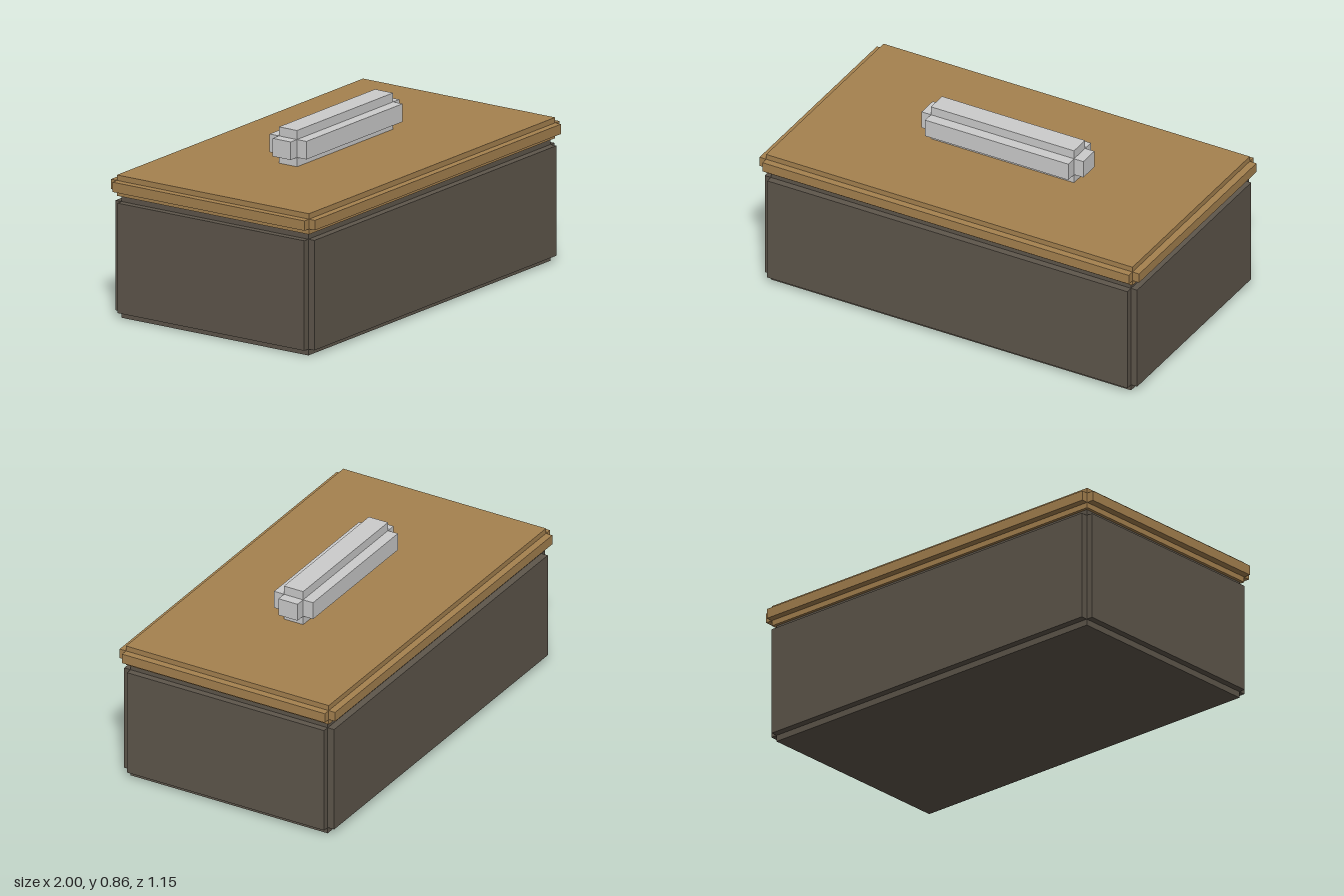
import * as THREE from 'three';

// A block with stepped edges: a tall core plus bands pushed out on the sides and on front and back.
function steppedBlock(name, color, { core, outer, y, band }) {
  const group = new THREE.Group();
  group.name = name;
  const material = new THREE.MeshStandardMaterial({ color, flatShading: true });
  const addBox = (part, halfX, halfZ, [bottom, top]) => {
    const mesh = new THREE.Mesh(
      new THREE.BoxGeometry(halfX * 2, top - bottom, halfZ * 2), material);
    mesh.name = part;
    mesh.position.y = (bottom + top) / 2;
    group.add(mesh);
  };
  addBox(name + 'Core', core[0], core[1], y);
  addBox(name + 'SideBand', outer[0], core[1], band);
  addBox(name + 'FrontBackBand', core[0], outer[1], band);
  return group;
}

export function createModel() {
  const model = new THREE.Group();
  model.name = 'liddedBox';
  model.add(
    // Dark body
    steppedBlock('body', 0x5e564b, {
      core: [0.949, 0.526], outer: [0.981, 0.56], y: [0, 0.583], band: [0.03, 0.554],
    }),
    // Overhanging wooden lid
    steppedBlock('lid', 0xa5814f, {
      core: [0.965, 0.541], outer: [1, 0.575], y: [0.583, 0.682], band: [0.609, 0.656],
    }),
    // Grip on top of the lid
    steppedBlock('handle', 0xcccccc, {
      core: [0.377, 0.051], outer: [0.426, 0.104], y: [0.682, 0.855], band: [0.726, 0.812],
    }),
  );
  return model;
}
